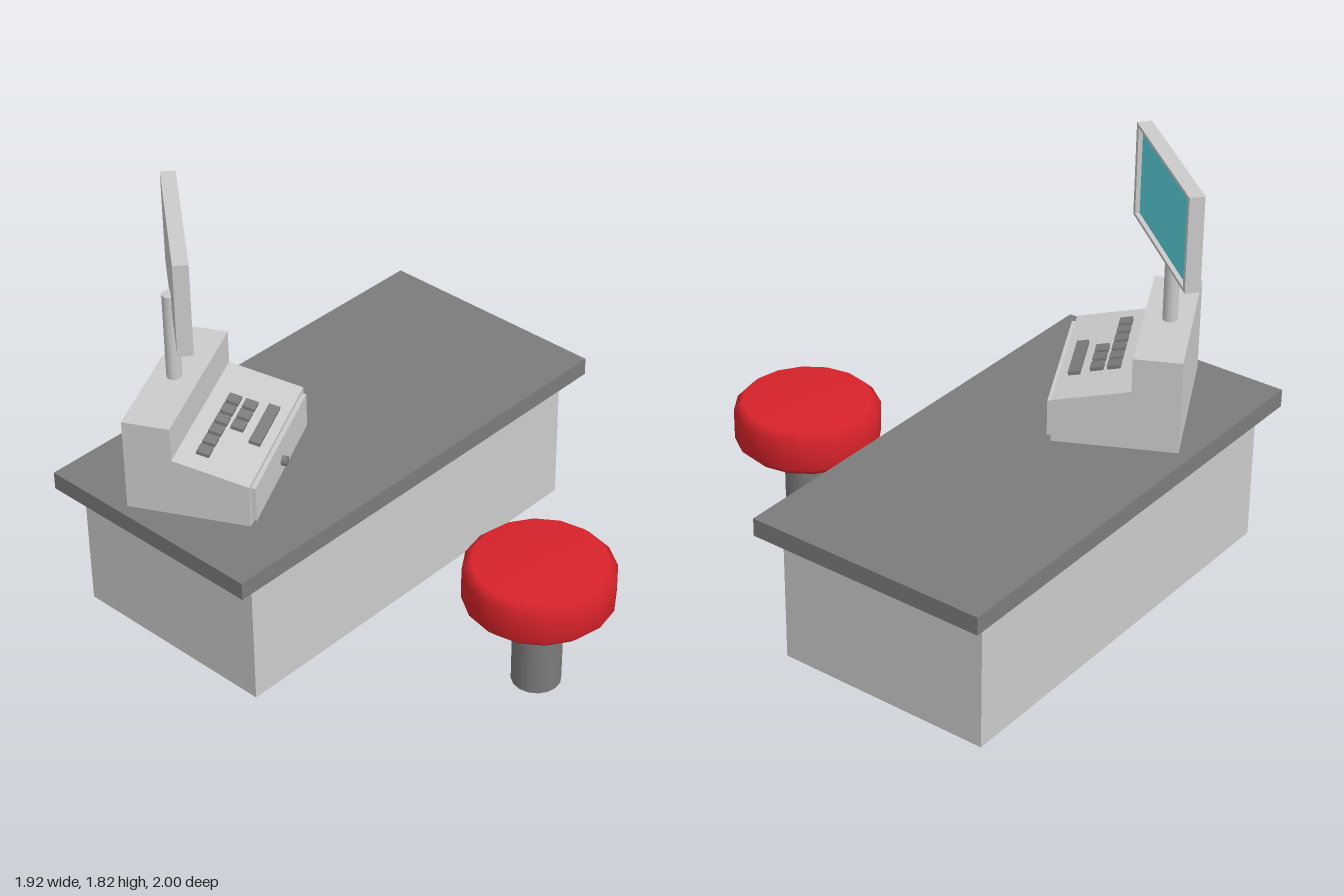
import * as THREE from 'three';

const paint = (color) => new THREE.MeshStandardMaterial({ color });

function add(parent, name, geometry, material, x = 0, y = 0, z = 0) {
  const mesh = new THREE.Mesh(geometry, material);
  mesh.name = name;
  mesh.position.set(x, y, z);
  parent.add(mesh);
  return mesh;
}

function group(parent, name, x, y, z, turn = 0) {
  const g = new THREE.Group();
  g.name = name;
  g.position.set(x, y, z);
  g.rotation.y = turn;
  parent.add(g);
  return g;
}

const box = (w, h, d) => new THREE.BoxGeometry(w, h, d);

export function createModel() {
  const model = new THREE.Group();
  model.name = 'checkoutCounter';
  const grey = paint(0xcccccc);
  const darkGrey = paint(0x7c7c7c);
  const red = paint(0xd8232a);
  const cyan = paint(0x5fd9e6);

  // Counter
  const counter = group(model, 'counter', -0.45, 0, 0);
  add(counter, 'counterBody', box(0.92, 0.57, 1.8), grey, 0, 0.38, 0);
  add(counter, 'counterTop', box(1.03, 0.075, 2), darkGrey, 0, 0.7025, 0);

  // Stool: padded seat on a round column
  const stool = group(model, 'stool', 0.66, 0, 0);
  const seatProfile = [
    [0, 0.38], [0.1, 0.38], [0.265, 0.38], [0.3, 0.415],
    [0.3, 0.545], [0.265, 0.58], [0, 0.58],
  ].map(([r, y]) => new THREE.Vector2(r, y));
  add(stool, 'stoolSeat', new THREE.LatheGeometry(seatProfile, 16), red);
  add(stool, 'stoolColumn', new THREE.CylinderGeometry(0.1, 0.1, 0.38, 16), darkGrey, 0, 0.19, 0);

  // Register, turned on the counter; its local +z is the drawer side
  const register = group(model, 'register', -0.752, 0.74, 0.648, 2.042);
  const width = 0.69, depth = 0.494, stepZ = 0.19, stepY = 0.248, frontY = 0.18;
  const side = new THREE.Shape([
    [0, 0], [depth, 0], [depth, frontY], [stepZ, stepY], [stepZ, 0.39], [0, 0.39],
  ].map(([z, y]) => new THREE.Vector2(z, y)));
  const bodyGeo = new THREE.ExtrudeGeometry(side, { depth: width, bevelEnabled: false });
  bodyGeo.rotateY(-Math.PI / 2).translate(width / 2, 0, 0);
  add(register, 'registerBody', bodyGeo, grey);

  // Cash drawer and its knob
  add(register, 'drawerFront', box(0.65, 0.15, 0.018), grey, 0, 0.09, depth + 0.009);
  const knob = new THREE.CylinderGeometry(0.02, 0.02, 0.022, 12).rotateX(Math.PI / 2);
  add(register, 'drawerKnob', knob, darkGrey, 0, 0.07, depth + 0.029);

  // Keys lie on the sloping panel
  const fall = (frontY - stepY) / (depth - stepZ);
  const addKey = (name, w, d, x, z) => {
    const key = add(register, name, box(w, 0.03, d), darkGrey, x, stepY + fall * (z - stepZ), z);
    key.rotation.x = -Math.atan(fall);
  };
  for (let i = 0; i < 6; i++) addKey('key', 0.053, 0.052, 0.118 - i * 0.07, 0.282);
  for (let i = 0; i < 3; i++) addKey('key', 0.053, 0.052, 0.118 - i * 0.07, 0.348);
  addKey('longKey', 0.256, 0.047, 0.032, 0.433);

  // Pole carrying the display
  add(model, 'displayPole', new THREE.CylinderGeometry(0.03, 0.03, 0.37, 16), grey, -0.672, 1.315, 0.608);

  // Display: back plate, raised rim and recessed screen
  const display = group(model, 'display', -0.6625, 1.625, 0.57, 2.446);
  const W = 0.685, H = 0.39, w = 0.635, h = 0.362;
  const rect = (C, a, b) => new C([
    new THREE.Vector2(-a / 2, -b / 2), new THREE.Vector2(a / 2, -b / 2),
    new THREE.Vector2(a / 2, b / 2), new THREE.Vector2(-a / 2, b / 2),
  ]);
  const rim = rect(THREE.Shape, W, H);
  rim.holes.push(rect(THREE.Path, w, h));
  add(display, 'displayBack', box(W, H, 0.04), grey, 0, 0, -0.01);
  add(display, 'displayRim', new THREE.ExtrudeGeometry(rim, { depth: 0.02, bevelEnabled: false }), grey, 0, 0, 0.01);
  add(display, 'screen', new THREE.PlaneGeometry(w, h), cyan, 0, 0, 0.012);

  return model;
}
